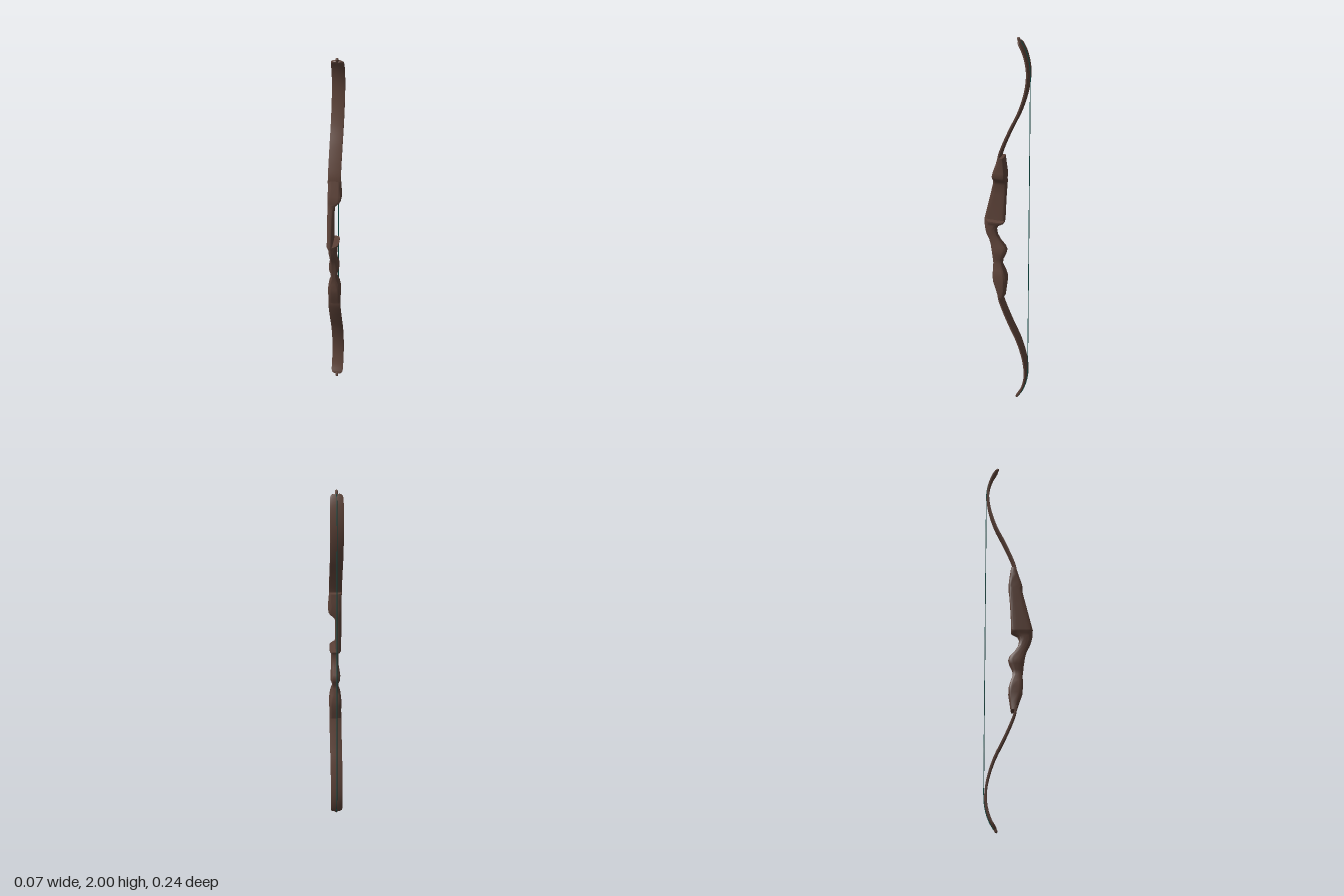
import * as THREE from 'three';
import { toCreasedNormals } from 'three/addons/utils/BufferGeometryUtils.js';

const CX = -0.003; // centre line of limbs and string
const STRING_Z = -0.1185, STRING_R = 0.002;

// Skin a stack of equal-sized rings (ordered bottom to top) and cap both ends
function loft(rings, crease) {
  const n = rings[0].length, pos = [], idx = [];
  rings.forEach(r => r.forEach(p => pos.push(p.x, p.y, p.z)));
  for (let i = 0; i < rings.length - 1; i++) {
    for (let j = 0; j < n; j++) {
      const k = (j + 1) % n, a = i * n + j, b = i * n + k;
      idx.push(a, a + n, b, b, a + n, b + n);
    }
  }
  const top = (rings.length - 1) * n;
  for (let j = 1; j < n - 1; j++) {
    idx.push(0, j, j + 1);
    idx.push(top, top + j + 1, top + j);
  }
  const g = new THREE.BufferGeometry();
  g.setAttribute('position', new THREE.Float32BufferAttribute(pos, 3));
  g.setIndex(idx);
  return toCreasedNormals(g, crease);
}

// Rounded-rectangle ring from [y, xMin, xMax, zMin, zMax, squareness]
function riserRing([y, x0, x1, z0, z1, square = 5]) {
  const ring = [], e = 2 / square;
  for (let j = 0; j < 32; j++) {
    const t = (j + 0.5) / 32 * Math.PI * 2, c = Math.cos(t), s = Math.sin(t);
    const z = (z0 + z1) / 2 + (z1 - z0) / 2 * Math.sign(s) * Math.abs(s) ** e;
    let x = (x0 + x1) / 2 + (x1 - x0) / 2 * Math.sign(c) * Math.abs(c) ** e;
    // the arrow shelf narrows towards its front
    if (z > 0.075) x = Math.min(x, 0.026 - 0.036 * ((z - 0.075) / 0.045) ** 2);
    ring.push(new THREE.Vector3(x, y, z));
  }
  return ring;
}

// Upper riser with sight window cut away on the model's left
const UPPER = [
  [1.038, -0.031, -0.003, 0.012, 0.12], [1.1, -0.032, -0.004, 0.01, 0.105],
  [1.18, -0.033, -0.003, 0.006, 0.086], [1.235, -0.033, -0.001, 0.002, 0.073],
  [1.255, -0.033, 0.008, 0, 0.069], [1.272, -0.033, 0.025, 0, 0.069],
  [1.285, -0.033, 0.032, 0, 0.069, 7], [1.31, -0.033, 0.032, 0, 0.063, 7],
  [1.35, -0.033, 0.03, 0.005, 0.05], [1.39, -0.033, 0.028, 0.011, 0.038],
];
// Grip, arrow shelf and lower riser
const LOWER = [
  [0.61, -0.033, 0.028, 0.011, 0.038], [0.65, -0.033, 0.028, 0.005, 0.05],
  [0.70, -0.033, 0.029, -0.002, 0.067], [0.73, -0.033, 0.028, -0.001, 0.069],
  [0.765, -0.029, 0.024, 0.008, 0.069, 4], [0.80, -0.018, 0.014, 0.02, 0.069, 3],
  [0.825, -0.019, 0.015, 0.017, 0.072, 3], [0.855, -0.028, 0.022, 0.003, 0.075, 3],
  [0.88, -0.028, 0.022, -0.003, 0.079, 3], [0.90, -0.025, 0.019, 0.004, 0.082, 3],
  [0.93, -0.02, 0.016, 0.029, 0.09, 3], [0.96, -0.02, 0.016, 0.047, 0.105, 3],
  [0.99, -0.023, 0.018, 0.052, 0.115, 3], [1.01, -0.024, 0.017, 0.043, 0.119, 3],
  [1.022, -0.026, 0.018, 0.022, 0.12, 4], [1.03, -0.029, 0.025, 0.013, 0.12],
  [1.038, -0.031, 0.025, 0.012, 0.12],
];

// Side profile of the upper limb as [y, z], riser to tip
const LIMB = [
  [1.37, 0.035], [1.40, 0.031], [1.46, 0.01], [1.54, -0.024], [1.64, -0.07],
  [1.74, -0.1], [1.82, -0.11], [1.88, -0.105], [1.94, -0.087], [1.983, -0.063],
];
// Limb cross-section as fractions of half width and half thickness
const SECTION = [[1, -0.6], [1, 0.6], [0.7, 1], [-0.7, 1], [-1, 0.6], [-1, -0.6], [-0.7, -1], [0.7, -1]];

export function createModel() {
  const wood = new THREE.MeshStandardMaterial({ color: 0x5c4238 });
  wood.name = 'brown wood';
  const cord = new THREE.MeshStandardMaterial({ color: 0x0b4a44 });
  cord.name = 'dark teal cord';
  const bow = new THREE.Group();
  bow.name = 'recurveBow';
  const add = (name, geo, mat) => {
    const m = new THREE.Mesh(geo, mat);
    m.name = name;
    bow.add(m);
    return m;
  };

  // Riser halves meet at the arrow shelf
  add('upperRiser', loft(UPPER.map(riserRing), 0.9), wood);
  add('gripAndLowerRiser', loft(LOWER.map(riserRing), 0.9), wood);

  for (const up of [true, false]) {
    const side = up ? 'upper' : 'lower';
    const pts = LIMB.map(([y, z]) => new THREE.Vector3(CX, up ? y : 2 - y, z));
    if (!up) pts.reverse();
    const curve = new THREE.CatmullRomCurve3(pts);
    const total = curve.getLength();

    // Flat limb with rounded tip corners; v runs from riser to tip
    const vs = [0.986, 0.993, 0.997];
    for (let i = 0; i <= 48; i++) vs.push(i / 48);
    vs.sort((a, b) => a - b);
    const rings = vs.map(v => {
      const u = up ? v : 1 - v;
      const p = curve.getPointAt(u), t = curve.getTangentAt(u);
      const d = Math.max(0, 1 - (1 - v) * total / 0.024);
      const w = 0.031 - 0.016 * (1 - Math.sqrt(1 - d * d)), h = 0.006;
      return SECTION.map(([x, n]) =>
        new THREE.Vector3(CX + x * w, p.y - t.z * n * h, p.z + t.y * n * h));
    });
    if (!up) rings.reverse();
    add(side + 'Limb', loft(rings, 1.2), wood);

    // String nock at the tip
    const nock = add(side + 'Nock', new THREE.CapsuleGeometry(0.0075, 0.014, 5, 12), wood);
    nock.position.set(CX, up ? 1.987 : 0.013, -0.062);
    nock.rotation.x = up ? 0.45 : -0.45;

    // String lying on the back of the recurve
    const wrap = [];
    for (let i = 0; i <= 12; i++) {
      const v = 1 - i / 12 * 0.3, u = up ? v : 1 - v;
      const p = curve.getPointAt(u), t = curve.getTangentAt(u), o = 0.0075;
      if (up ? p.y < 1.835 : p.y > 0.165) break;
      wrap.push(new THREE.Vector3(CX, p.y + t.z * o, p.z - t.y * o));
    }
    wrap.push(new THREE.Vector3(CX, up ? 1.81 : 0.19, STRING_Z));
    add(side + 'StringEnd', new THREE.TubeGeometry(new THREE.CatmullRomCurve3(wrap), 24, STRING_R, 8), cord);
  }

  // Straight span of the string
  const string = add('bowstring', new THREE.CylinderGeometry(STRING_R, STRING_R, 1.62, 8), cord);
  string.position.set(CX, 1, STRING_Z);
  return bow;
}
